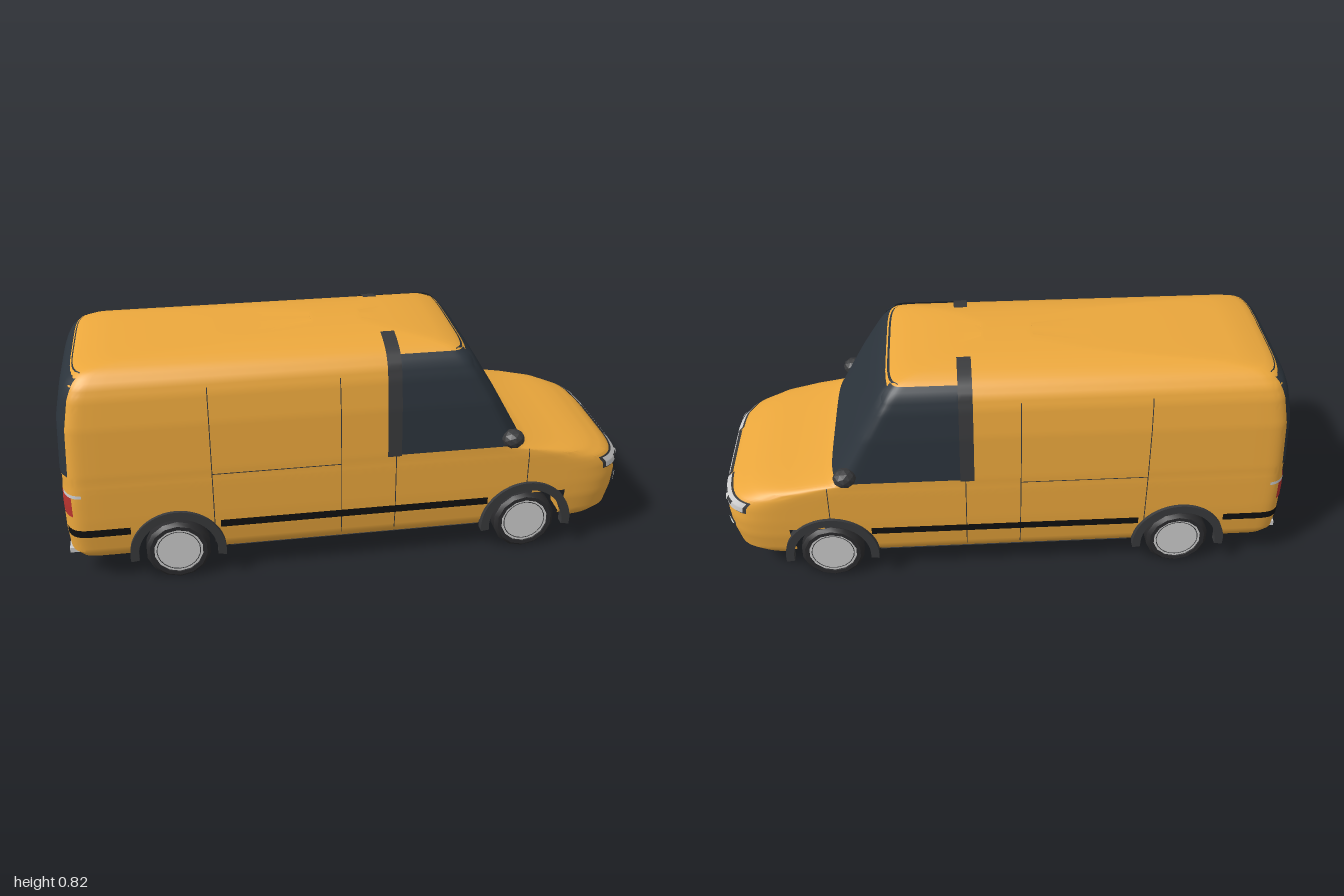
import * as THREE from 'three';
import { toCreasedNormals } from 'three/addons/utils/BufferGeometryUtils.js';

const PAINT = 0xeba73c, GLASS = 0x2c343c, TRIM = 0x38393b, BLACK = 0x111111, CHROME = 0xcccccc;
const WHEEL_X = [-0.61, 0.63], WHEEL_Y = 0.112, ARCH_R = 0.145, P = 5;
const lerp = THREE.MathUtils.lerp;

// Body heights: y, rear x, front x, half width, rear corner depth, front corner depth
const ROWS = [
  [0.09, -0.93, 0.9, 0.27, 0.12, 0.3], [0.105, -0.965, 0.95, 0.31, 0.13, 0.33],
  [0.13, -0.985, 0.98, 0.325, 0.14, 0.35], [0.2, -0.99, 0.995, 0.335, 0.14, 0.35],
  [0.26, -0.99, 1, 0.337, 0.14, 0.35], [0.32, -0.99, 0.99, 0.337, 0.14, 0.35],
  [0.35, -0.988, 0.96, 0.337, 0.14, 0.33], [0.38, -0.985, 0.88, 0.337, 0.14, 0.28],
  [0.4, -0.985, 0.77, 0.336, 0.14, 0.2], [0.415, -0.985, 0.65, 0.336, 0.14, 0.13],
  [0.43, -0.984, 0.61, 0.336, 0.14, 0.1], [0.6, -0.975, 0.515, 0.327, 0.14, 0.08],
  [0.7, -0.955, 0.455, 0.312, 0.13, 0.08], [0.74, -0.94, 0.43, 0.298, 0.13, 0.08],
  [0.77, -0.915, 0.405, 0.272, 0.12, 0.08], [0.785, -0.88, 0.375, 0.25, 0.12, 0.08],
  [0.797, -0.78, 0.32, 0.215, 0.12, 0.08], [0.807, -0.5, 0.24, 0.17, 0.1, 0.07],
  [0.813, -0.3, 0.17, 0.13, 0.08, 0.06], [0.817, -0.1, 0.08, 0.06, 0.06, 0.05],
  [0.818, -0.1, 0.08, 0, 0.06, 0.05]];

function slice(y) {
  let i = 0;
  while (i < ROWS.length - 2 && y > ROWS[i + 1][0]) i++;
  const a = ROWS[i], b = ROWS[i + 1], t = THREE.MathUtils.clamp((y - a[0]) / (b[0] - a[0]), 0, 1);
  const [, xr, xf, w, dr, df] = a.map((v, k) => lerp(v, b[k], t));
  return { xr, xf, w, dr, df };
}
const round = u => Math.pow(Math.max(0, 1 - Math.pow(Math.min(1, Math.abs(u)), P)), 1 / P);

// Body surface from the side, the front and the rear
function halfWidth(x, y) {
  const s = slice(y);
  return s.w * round(Math.max(0, (x - s.xf + s.df) / s.df, (s.xr + s.dr - x) / s.dr));
}
const frontX = (z, y) => { const s = slice(y); return s.xf - s.df * (1 - round(z / s.w)); };
const rearX = (z, y) => { const s = slice(y); return s.xr + s.dr * (1 - round(z / s.w)); };

// Half of the plan outline, from rear centre to front centre, k = 0..1
function outline(k, y) {
  const s = slice(y), e = 0.15;
  if (k > e && k < 1 - e) return [lerp(s.xr + s.dr, s.xf - s.df, (k - e) / (1 - 2 * e)), s.w];
  const a = Math.min(k, 1 - k) / e * Math.PI / 2;
  const c = Math.pow(Math.max(0, Math.cos(a)), 2 / P), z = s.w * Math.pow(Math.sin(a), 2 / P);
  return k <= e ? [s.xr + s.dr * (1 - c), z] : [s.xf - s.df * (1 - c), z];
}

// Surface over a grid of (u, v); cells whose centre fails keep() are left out
function grid(nu, nv, fn, keep = () => true) {
  const pos = [], idx = [];
  for (let j = 0; j <= nv; j++) for (let i = 0; i <= nu; i++) pos.push(...fn(i / nu, j / nv));
  for (let j = 0; j < nv; j++) for (let i = 0; i < nu; i++) {
    const a = j * (nu + 1) + i, b = a + 1, c = a + nu + 1, d = c + 1;
    const mid = [0, 1, 2].map(n => (pos[a * 3 + n] + pos[d * 3 + n]) / 2);
    if (keep(...mid)) idx.push(a, b, d, a, d, c);
  }
  const g = new THREE.BufferGeometry();
  g.setAttribute('position', new THREE.Float32BufferAttribute(pos, 3));
  g.setIndex(idx);
  g.computeVertexNormals();
  return g;
}

export function createModel() {
  const van = new THREE.Group();
  van.name = 'van';
  function add(name, geometry, color, side = THREE.FrontSide) {
    const m = new THREE.Mesh(geometry, new THREE.MeshStandardMaterial({ color, side }));
    m.name = name;
    van.add(m);
    return m;
  }
  const val = (f, y) => (typeof f === 'function' ? f(y) : f);

  // Panels lying just outside the body
  function sidePanel(name, color, x0, x1, y0, y1, eps = 0.005, nu = 24, nv = 24) {
    for (const s of [1, -1]) add(name, grid(nu, nv, (u, v) => {
      const y = lerp(y0, y1, v), x = lerp(val(x0, y), val(x1, y), s > 0 ? u : 1 - u);
      return [x, y + (y > 0.74 ? eps : 0), s * (halfWidth(x, y) + eps)];
    }), color, THREE.DoubleSide);
  }
  function endPanel(name, color, end, z0, z1, y0, y1, eps = 0.005, nu = 28, nv = 14) {
    add(name, grid(nu, nv, (u, v) => {
      const y = lerp(y0, y1, v), z = lerp(val(z0, y), val(z1, y), end > 0 ? 1 - u : u);
      return [end > 0 ? frontX(z, y) + eps : rearX(z, y) - eps, y, z];
    }), color, THREE.DoubleSide);
  }
  function frontDisc(name, color, cz, cy, rz, ry, eps) {
    add(name, grid(20, 3, (u, v) => {
      const a = u * Math.PI * 2, z = cz + Math.cos(a) * rz * v, y = cy + Math.sin(a) * ry * v;
      return [frontX(z, y) + eps, y, z];
    }), color, THREE.DoubleSide);
  }

  // Body shell with open wheel arches, and its floor
  const ys = [];
  for (let i = 0; i < ROWS.length - 1; i++) {
    const a = ROWS[i][0], b = ROWS[i + 1][0], n = Math.ceil((b - a) / 0.015);
    for (let k = 0; k < n; k++) ys.push(lerp(a, b, k / n));
  }
  ys.push(0.818);
  const shell = grid(280, ys.length - 1, (u, v) => {
    const y = ys[Math.round(v * (ys.length - 1))];
    const [x, z] = outline(u <= 0.5 ? u * 2 : 2 - u * 2, y);
    return [x, y, u <= 0.5 ? z : -z];
  }, (x, y) => WHEEL_X.every(c => Math.hypot(x - c, y - WHEEL_Y) > ARCH_R));
  add('body', toCreasedNormals(shell, 0.5), PAINT);
  add('floor', grid(140, 14, (u, v) => {
    const [x, z] = outline(u, 0.09);
    return [x, 0.09, z * (2 * v - 1)];
  }, (x, y, z) => Math.abs(z) < 0.2 || WHEEL_X.every(c => Math.abs(x - c) > ARCH_R)), PAINT);

  // Glass
  sidePanel('sideWindow', GLASS, 0.165, y => slice(y).xf - 0.012, 0.43, 0.772);
  const edge = f => y => f * slice(y).w;
  endPanel('windscreen', GLASS, 1, edge(-0.985), edge(0.985), 0.432, 0.778);
  endPanel('rearWindow', GLASS, -1, edge(-0.95), edge(0.95), 0.43, 0.775);

  // Door pillar running up onto the roof
  sidePanel('doorPillar', TRIM, 0.12, 0.168, 0.425, 0.809, 0.006, 4, 40);

  // Side stripe, sill and panel gaps
  sidePanel('sideStripe', BLACK, -0.975, -0.765, 0.2, 0.228);
  sidePanel('sideStripe', BLACK, -0.46, 0.485, 0.2, 0.228);
  sidePanel('sill', TRIM, -0.43, 0.46, 0.091, 0.106);
  for (const [x, y0, y1] of [[-0.48, 0.13, 0.72], [-0.04, 0.13, 0.72], [0.15, 0.13, 0.43], [0.625, 0.27, 0.41]])
    sidePanel('panelGap', TRIM, x - 0.0015, x + 0.0015, y0, y1, 0.003, 1, 30);
  sidePanel('panelGap', TRIM, -0.48, -0.04, 0.408, 0.411, 0.003, 10, 1);

  // Grille, bumper intake and rear plate recess
  endPanel('grille', TRIM, 1, -0.128, 0.128, 0.277, 0.335);
  for (const y of [0.289, 0.306, 0.322]) endPanel('grilleBar', CHROME, 1, -0.12, 0.12, y, y + 0.004, 0.009);
  endPanel('lowerIntake', TRIM, 1, y => -0.2 + (y - 0.212) * 0.6, y => 0.2 - (y - 0.212) * 0.6, 0.212, 0.257);
  endPanel('frontPlate', TRIM, 1, -0.097, 0.097, 0.198, 0.222, 0.007);
  endPanel('rearPlate', TRIM, -1, -0.11, 0.11, 0.19, 0.245);

  for (const s of [1, -1]) {
    // Headlights and fog lights
    const span = (a, b) => (s > 0 ? [a, b] : [-b, -a]);
    endPanel('headlightFrame', TRIM, 1, ...span(0.132, 0.318), 0.296, 0.342, 0.005);
    endPanel('headlight', CHROME, 1, ...span(0.137, 0.314), 0.3, 0.338, 0.009);
    endPanel('headlightInsert', TRIM, 1, ...span(0.2, 0.28), 0.31, 0.325, 0.011);
    frontDisc('headlightLens', 0xeeeeee, s * 0.24, 0.318, 0.012, 0.012, 0.014);
    frontDisc('fogLightFrame', TRIM, s * 0.262, 0.23, 0.024, 0.02, 0.005);
    frontDisc('fogLight', 0xdde5e2, s * 0.262, 0.23, 0.019, 0.015, 0.009);

    // Mirror
    const mirror = add('mirror', new THREE.IcosahedronGeometry(1, 1), TRIM);
    mirror.material.flatShading = true;
    mirror.scale.set(0.04, 0.034, 0.038);
    mirror.position.set(0.56, 0.461, s * 0.343);

    // Rear step end
    add('rearStep', new THREE.BoxGeometry(0.045, 0.018, 0.06), CHROME).position.set(-0.96, 0.11, s * 0.24);

    for (const cx of WHEEL_X) {
      // Wheel arch trim and wheel well
      const ring = new THREE.Shape();
      ring.absarc(0, 0, 0.165, -0.12, Math.PI + 0.12, false);
      ring.absarc(0, 0, 0.136, Math.PI + 0.12, -0.12, true);
      const arch = add('wheelArch', new THREE.ExtrudeGeometry(ring, { depth: 0.034, bevelEnabled: false, curveSegments: 20 }), TRIM);
      arch.position.set(cx, WHEEL_Y, s > 0 ? 0.315 : -0.349);
      add('wheelWell', grid(20, 1, (u, v) => [cx + ARCH_R * Math.cos(u * Math.PI),
        WHEEL_Y + ARCH_R * Math.sin(u * Math.PI) - 0.005, s * lerp(0.2, 0.325, v)]), PAINT, THREE.DoubleSide);

      // Tyre and rim
      const wheel = new THREE.Group();
      wheel.name = 'wheel';
      const profile = [[0.06, -0.034], [0.1, -0.034], [0.112, -0.022], [0.112, 0.022], [0.1, 0.034], [0.086, 0.034], [0.084, 0.02]];
      const tyre = add('tyre', toCreasedNormals(new THREE.LatheGeometry(profile.map(p => new THREE.Vector2(...p)), 14), 0.5), 0x2b2b2d, THREE.DoubleSide);
      const rim = add('rim', new THREE.CylinderGeometry(0.086, 0.086, 0.058, 20), CHROME);
      const groove = add('rimGroove', new THREE.TorusGeometry(0.075, 0.0015, 4, 24), TRIM);
      groove.rotation.x = Math.PI / 2;
      groove.position.y = 0.029;
      wheel.add(tyre, rim, groove);
      wheel.rotation.x = s * Math.PI / 2;
      wheel.position.set(cx, WHEEL_Y, s * 0.302);
      van.add(wheel);
    }
  }

  // Tail lights
  sidePanel('tailLight', 0xb8332e, y => slice(y).xr + 0.006, -0.95, 0.28, 0.358);
  sidePanel('tailLightTop', CHROME, y => slice(y).xr + 0.012, -0.915, 0.355, 0.367, 0.007);
  return van;
}
